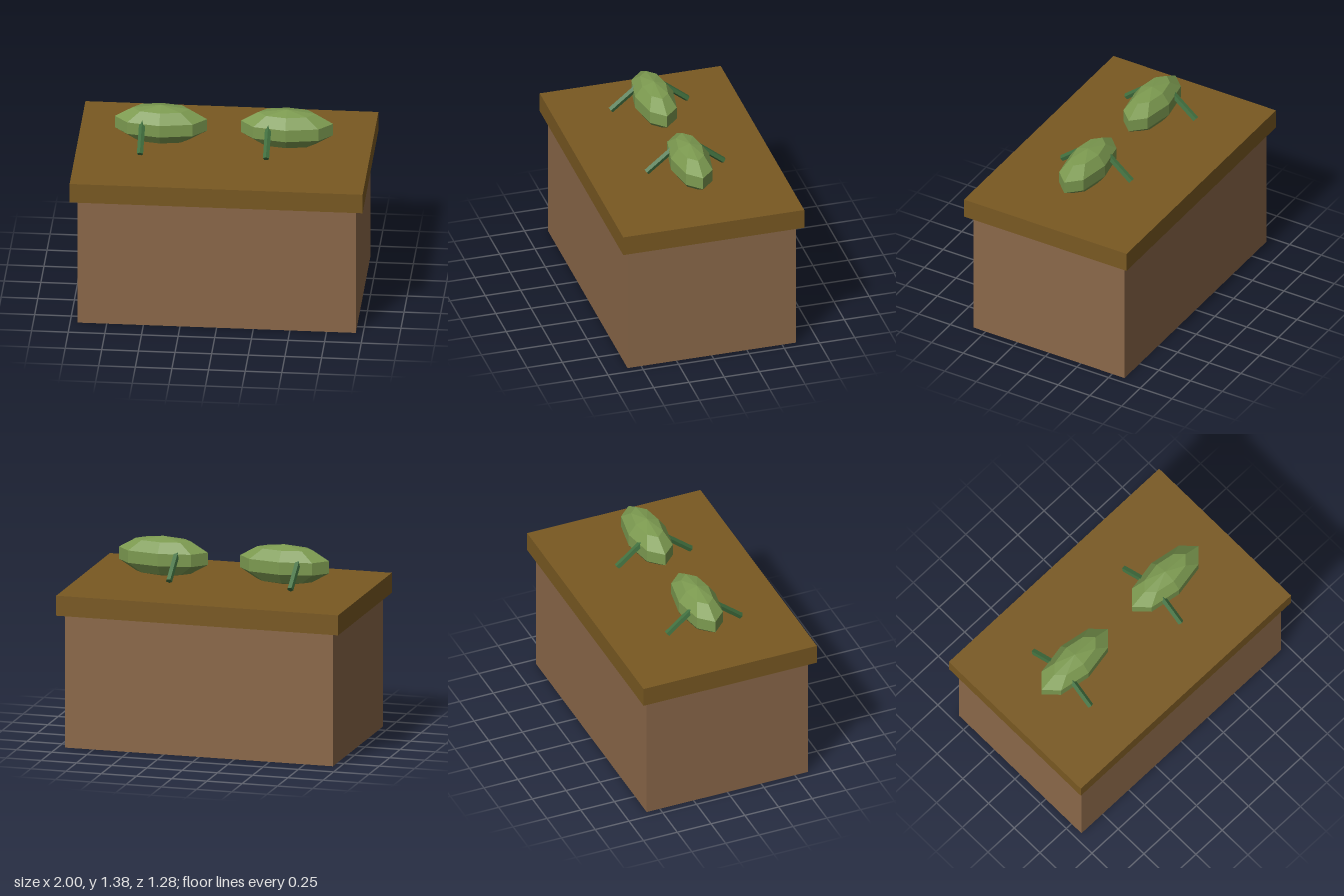
import * as THREE from 'three';

export function createModel() {
  const group = new THREE.Group();
  const material = (name, color, flatShading = false) => {
    const m = new THREE.MeshStandardMaterial({ color, flatShading });
    m.name = name;
    return m;
  };
  const crateBrown = material('crate brown', 0x8b6849);
  const lidBrown = material('lid brown', 0x795922);
  const leafGreen = material('light green', 0x7c9a50, true);
  const stemGreen = material('dark green', 0x41703f, true);

  const add = (parent, name, geometry, mat, x, y, z) => {
    const mesh = new THREE.Mesh(geometry, mat);
    mesh.name = name;
    mesh.position.set(x, y, z);
    parent.add(mesh);
    return mesh;
  };

  // Crate and overhanging top slab
  add(group, 'crate', new THREE.BoxGeometry(1.9, 0.93, 1.194), crateBrown, 0, 0.465, 0);
  add(group, 'topSlab', new THREE.BoxGeometry(2, 0.14, 1.284), lidBrown, 0, 1.0, 0);

  // Low-poly stretched body, and a thin rod for its limbs
  const bodyGeometry = new THREE.SphereGeometry(1, 8, 5).scale(0.331, 0.14, 0.142);
  const limbLength = 0.32;
  const limbGeometry = new THREE.CylinderGeometry(0.0225, 0.0225, limbLength, 5);
  const tilt = 0.89;

  for (const x of [-0.43, 0.43]) {
    const creature = new THREE.Group();
    creature.name = x < 0 ? 'rightCreature' : 'leftCreature';
    creature.position.set(x, 1.24, 0);
    group.add(creature);
    add(creature, 'body', bodyGeometry, leafGreen, 0, 0, 0);

    // Limbs slope down and outwards on both sides
    for (const side of [1, -1]) {
      const limb = add(creature, side > 0 ? 'frontLimb' : 'backLimb', limbGeometry, stemGreen,
        -0.12, -0.005, side * 0.148);
      limb.rotation.x = -side * tilt;
    }
  }
  return group;
}
